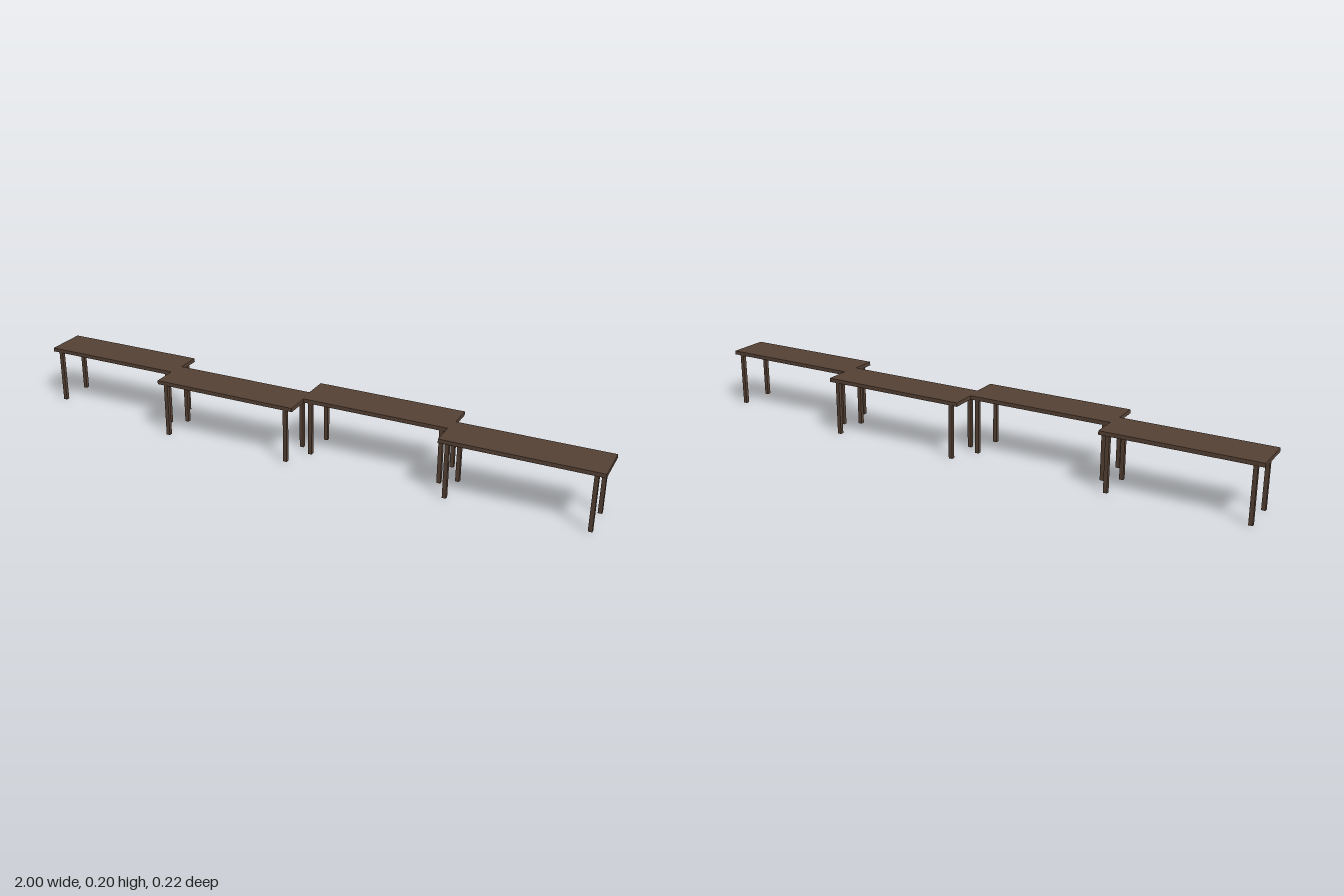
import * as THREE from 'three';

export function createModel() {
  const darkWood = new THREE.MeshStandardMaterial({ color: 0x564235 });
  darkWood.name = 'darkWood';

  const LENGTH = 0.505, DEPTH = 0.14, HEIGHT = 0.197, THICK = 0.013;
  const LEG = 0.013, LEG_X = 0.2245, LEG_Z = 0.06;
  const legHeight = HEIGHT - THICK;

  const topGeometry = new THREE.BoxGeometry(LENGTH, THICK, DEPTH);
  const legGeometry = new THREE.BoxGeometry(LEG, legHeight, LEG);

  function addPart(parent, name, geometry, x, y, z) {
    const mesh = new THREE.Mesh(geometry, darkWood);
    mesh.name = name;
    mesh.position.set(x, y, z);
    parent.add(mesh);
  }

  // One bench: a plank on four square legs
  function createBench() {
    const bench = new THREE.Group();
    addPart(bench, 'benchTop', topGeometry, 0, HEIGHT - THICK / 2, 0);
    for (const x of [-1, 1]) {
      for (const z of [-1, 1]) {
        const name = (z > 0 ? 'front' : 'back') + (x > 0 ? 'Left' : 'Right') + 'Leg';
        addPart(bench, name, legGeometry, x * LEG_X, legHeight / 2, z * LEG_Z);
      }
    }
    return bench;
  }

  // Four benches, staggered back and front, overlapping slightly at the corners
  const model = new THREE.Group();
  model.name = 'staggeredBenches';
  const pitch = (2 - LENGTH) / 3;
  for (let i = 0; i < 4; i++) {
    const bench = createBench();
    bench.name = 'bench' + (i + 1);
    bench.position.set((i - 1.5) * pitch, 0, i % 2 ? 0.042 : -0.042);
    model.add(bench);
  }
  return model;
}
